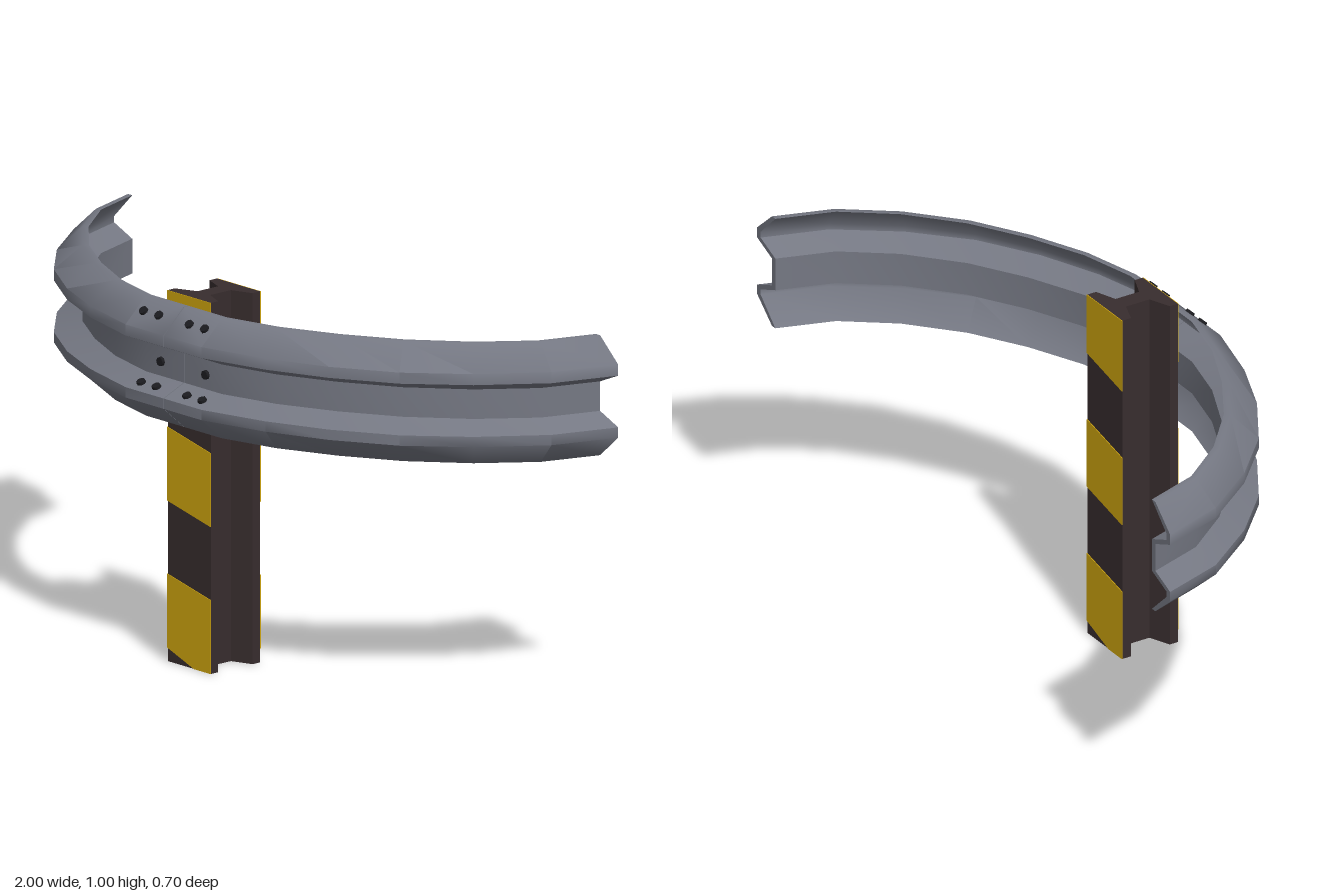
import * as THREE from 'three';
import { toCreasedNormals } from 'three/addons/utils/BufferGeometryUtils.js';

const makeMaterial = (name, color) => {
  const m = new THREE.MeshStandardMaterial({ color });
  m.name = name;
  return m;
};

// Plan-view [x, z] paths of the rail's foremost ridge and its rearmost face
const ridgePath = [[0.001, 0.35], [0.15, 0.35], [0.345, 0.3], [0.515, 0.23], [0.68, 0.13],
  [0.82, -0.005], [0.94, -0.17], [1, -0.35]];
const backPath = [[0.001, 0.262], [0.15, 0.262], [0.31, 0.222], [0.47, 0.15], [0.62, 0.06],
  [0.757, -0.06], [0.86, -0.195], [0.912, -0.35]];

// W section as [depth, y], depth 0 at the ridge and 1 at the back
const frontProfile = [[0.81, 0.98], [0, 0.915], [0, 0.885], [0.81, 0.855],
  [0.81, 0.775], [0, 0.745], [0, 0.717], [0.81, 0.655]];
const backProfile = [[1, 0.98], [0.19, 0.909], [0.19, 0.892], [1, 0.862],
  [1, 0.768], [0.19, 0.738], [0.19, 0.723], [1, 0.655]];

// Sweep the closed section along half of the curve; side is +1 or -1
function railHalf(side) {
  const ring = [...frontProfile, ...backProfile.slice().reverse()];
  const n = ring.length;
  const positions = [];
  const index = [];
  ridgePath.forEach(([rx, rz], i) => {
    const [bx, bz] = backPath[i];
    for (const [t, y] of ring) {
      positions.push(side * (rx + (bx - rx) * t), y, rz + (bz - rz) * t);
    }
  });
  const quad = (a, b, c, d) => {
    if (side > 0) index.push(a, b, c, a, c, d);
    else index.push(a, c, b, a, d, c);
  };
  const last = ridgePath.length - 1;
  for (let i = 0; i < last; i++) {
    for (let j = 0; j < n; j++) {
      const k = (j + 1) % n;
      quad(i * n + j, i * n + k, (i + 1) * n + k, (i + 1) * n + j);
    }
  }
  // End caps
  for (let j = 0; j < n / 2 - 1; j++) {
    const e = last * n;
    quad(e + j, e + j + 1, e + n - 2 - j, e + n - 1 - j);
    quad(j, n - 1 - j, n - 2 - j, j + 1);
  }
  const geometry = new THREE.BufferGeometry();
  geometry.setAttribute('position', new THREE.Float32BufferAttribute(positions, 3));
  geometry.setIndex(index);
  return toCreasedNormals(geometry, 0.85);
}

const shapeFrom = (points) => new THREE.Shape(points.map(([x, y]) => new THREE.Vector2(x, y)));

export function createModel() {
  const model = new THREE.Group();
  model.name = 'guardRail';
  const steel = makeMaterial('galvanised steel', 0x757883);
  const dark = makeMaterial('dark post', 0x382d2e);
  const yellow = makeMaterial('warning yellow', 0xd0a60f);
  const black = makeMaterial('bolt black', 0x1c1c20);

  const add = (parent, name, geometry, material) => {
    const mesh = new THREE.Mesh(geometry, material);
    mesh.name = name;
    parent.add(mesh);
    return mesh;
  };

  // Two rail halves meeting at a seam
  add(model, 'leftRail', railHalf(1), steel);
  add(model, 'rightRail', railHalf(-1), steel);

  // I-beam post, section drawn in x/z and extruded upwards
  const H = 1.005;
  const front = 0.26;
  const back = 0.088;
  const half = [[0.085, back], [0.085, 0.115], [0.025, 0.137], [0.025, 0.21], [0.085, 0.235], [0.085, front]];
  const section = [...half, ...half.slice().reverse().map(([x, z]) => [-x, z])];
  const postGeometry = new THREE.ExtrudeGeometry(
    shapeFrom(section.map(([x, z]) => [x, -z])), { depth: H, bevelEnabled: false });
  postGeometry.rotateX(-Math.PI / 2);
  add(model, 'post', postGeometry, dark);

  // Slanted yellow bands on the front and back flanges
  const w = 0.085;
  const bands = [
    [[-w, 0.037], [0.02, 0], [w, 0], [w, 0.2], [-w, 0.237]],
    [[-w, 0.435], [w, 0.398], [w, 0.598], [-w, 0.635]],
    [[-w, 0.832], [w, 0.795], [w, H], [-w, H]],
  ];
  for (const [name, z, turn] of [['frontBands', front, 0], ['backBands', back, Math.PI]]) {
    const group = new THREE.Group();
    group.name = name;
    group.position.z = z;
    group.rotation.y = turn;
    for (const band of bands) {
      add(group, 'yellowBand', new THREE.ExtrudeGeometry(shapeFrom(band), { depth: 0.002, bevelEnabled: false }), yellow);
    }
    model.add(group);
  }

  // Bolts: [x, y, z, normal y, normal z]
  const boltGeometry = new THREE.CylinderGeometry(0.012, 0.014, 0.014, 8);
  const rows = [
    [0.06, 0.95, 0.312, 0.07, 0.065], [0.12, 0.95, 0.312, 0.07, 0.065],
    [0.088, 0.815, 0.28, 0, 1],
    [0.06, 0.758, 0.321, 0.07, 0.03], [0.12, 0.758, 0.321, 0.07, 0.03],
  ];
  for (const side of [-1, 1]) {
    for (const [x, y, z, ny, nz] of rows) {
      const bolt = add(model, 'bolt', boltGeometry, black);
      bolt.position.set(side * x, y, z);
      bolt.rotation.x = Math.atan2(nz, ny);
    }
  }
  return model;
}
